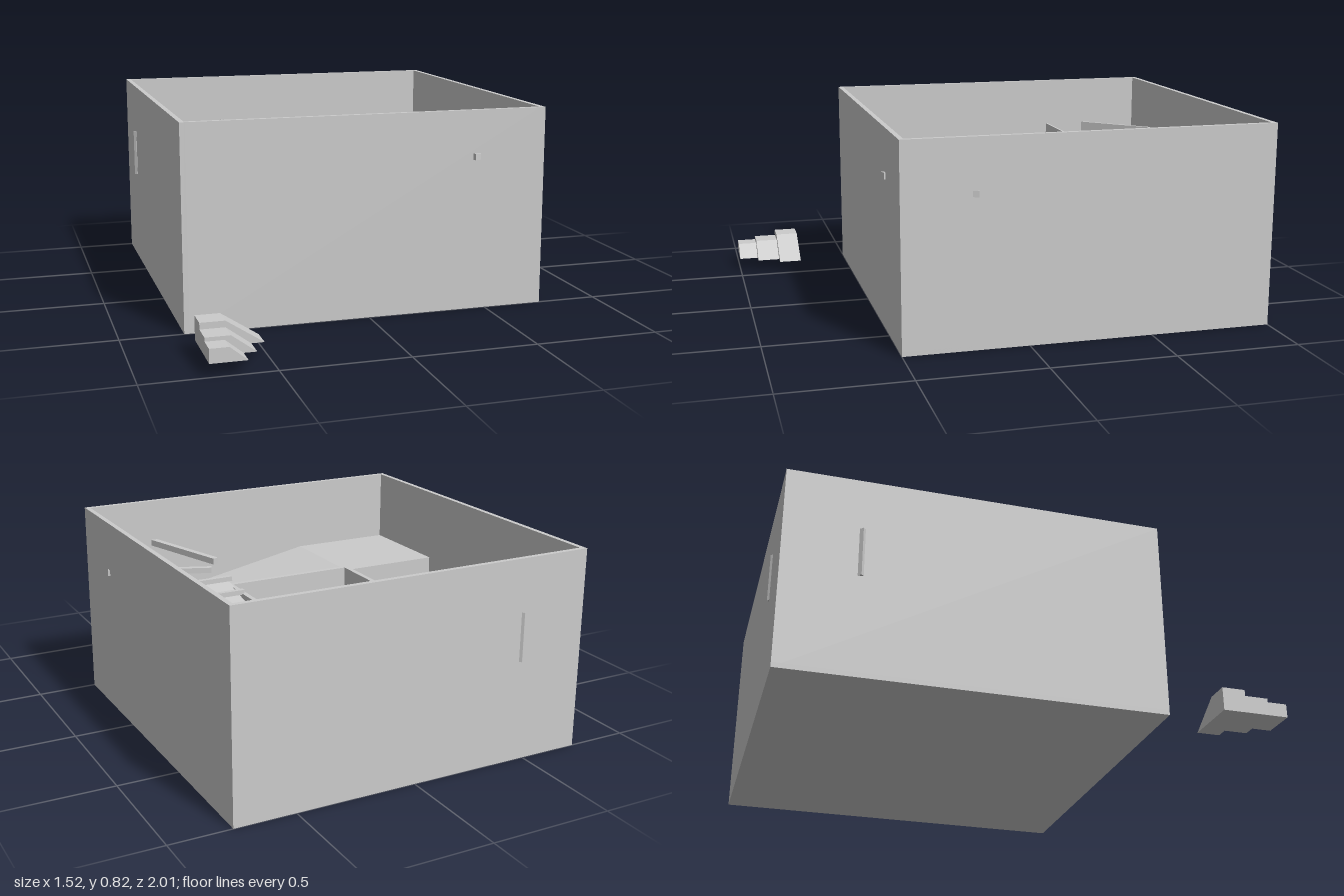
import * as THREE from 'three';

export function createModel() {
  const root = new THREE.Group();
  const mat = new THREE.MeshStandardMaterial({ color: 0xcccccc, flatShading: true, side: THREE.DoubleSide });
  const add = (name, geo, parent = root) => {
    const m = new THREE.Mesh(geo, mat);
    m.name = name;
    parent.add(m);
    return m;
  };
  // Box given by its limits on each axis
  const box = (name, x0, x1, y0, y1, z0, z1, parent) => {
    const m = add(name, new THREE.BoxGeometry(x1 - x0, y1 - y0, z1 - z0), parent);
    m.position.set((x0 + x1) / 2, (y0 + y1) / 2, (z0 + z1) / 2);
    return m;
  };
  // Solid block whose top height follows a rule of x and z
  const ramp = (name, x0, x1, z0, z1, top) => {
    const g = new THREE.BoxGeometry(x1 - x0, 1, z1 - z0);
    g.translate((x0 + x1) / 2, 0, (z0 + z1) / 2);
    const p = g.attributes.position;
    for (let i = 0; i < p.count; i++) p.setY(i, p.getY(i) > 0 ? top(p.getX(i), p.getZ(i)) : 0.02);
    g.computeVertexNormals();
    return add(name, g);
  };
  // Upright panel or bar between two points in plan, y is the middle height
  const bar = (name, a, b, y0, y1, h, w) => {
    const A = new THREE.Vector3(a[0], y0, a[1]), B = new THREE.Vector3(b[0], y1, b[1]);
    const m = add(name, new THREE.BoxGeometry(w, h, A.distanceTo(B)));
    m.position.copy(A).add(B).multiplyScalar(0.5);
    m.lookAt(B);
    return m;
  };
  const mix = (v, a, b, ya, yb) => ya + (yb - ya) * (v - a) / (b - a);

  // Open outer case
  box('caseFloor', -0.75, 0.75, 0, 0.02, -1, 0.5);
  box('caseLeftWall', 0.73, 0.75, 0, 0.823, -1, 0.5);
  box('caseRightWall', -0.75, -0.73, 0, 0.823, -1, 0.5);
  box('caseFrontWall', -0.73, 0.73, 0, 0.823, 0.48, 0.5);
  box('caseBackWall', -0.73, 0.73, 0, 0.823, -1, -0.98);

  // Corner floors
  ramp('frontRightFloor', -0.73, -0.29, 0.04, 0.48, () => 0.52);
  ramp('frontLeftFloor', 0.28, 0.73, 0.04, 0.48, () => 0.41);
  ramp('backLeftFloor', 0.28, 0.73, -0.98, -0.53, () => 0.55);
  ramp('backRightFloor', -0.73, -0.29, -0.98, -0.53, () => 0.45);

  // Ramps joining the corners
  ramp('frontRamp', -0.29, 0.28, 0.04, 0.48, x => mix(x, -0.29, 0.28, 0.52, 0.41));
  ramp('backRamp', -0.29, 0.28, -0.98, -0.53, x => mix(x, -0.29, 0.28, 0.45, 0.55));
  ramp('rightRamp', -0.73, -0.29, -0.53, 0.04, (x, z) => mix(z, -0.53, 0.04, 0.45, 0.28));
  ramp('leftRamp', 0.28, 0.73, -0.53, 0.04, (x, z) => mix(z, -0.53, 0.04, 0.44, 0.55));

  // Middle room
  ramp('middleFloorRight', -0.27, 0, -0.52, 0.02, x => mix(x, -0.27, 0, 0.4, 0.44));
  ramp('middleFloorLeft', 0, 0.27, -0.52, 0.02, () => 0.44);
  for (const s of [-1, 1]) box('middleSideWall', s * 0.28 - 0.01, s * 0.28 + 0.01, 0.02, 0.54, -0.53, 0.04);
  box('middleBackWall', -0.27, 0.27, 0.02, 0.54, -0.535, -0.515);
  box('middleFrontWall', -0.27, 0.27, 0.02, 0.54, 0.02, 0.04);

  // Thin partitions in the back right corner
  box('partitionAcross', -0.73, -0.29, 0.41, 0.61, -0.537, -0.527);
  box('partitionAlong', -0.295, -0.285, 0.41, 0.61, -0.98, -0.53);
  bar('diagonalPanel', [-0.757, -0.695], [-0.46, -1.003], 0.51, 0.51, 0.2, 0.014);

  // Sloped mound in the corner
  const mound = new THREE.BoxGeometry(0.18, 0.06, 0.18);
  const mp = mound.attributes.position;
  for (let i = 0; i < mp.count; i++) if (mp.getY(i) > 0) {
    if (mp.getX(i) > 0) mp.setX(i, 0.02);
    if (mp.getZ(i) > 0) mp.setZ(i, -0.01);
  }
  mound.computeVertexNormals();
  add('cornerMound', mound).position.set(-0.64, 0.475, -0.89);

  // Planks and plates over the left ramp
  for (const [z, y, x0] of [[-0.225, 0.52, 0.28], [-0.195, 0.53, 0.28], [-0.1, 0.555, 0.28], [0.02, 0.58, 0.28]])
    box('plank', x0, 0.73, y - 0.02, y, z - 0.01, z + 0.01);
  box('shortPlank', 0.28, 0.54, 0.48, 0.5, -0.36, -0.345);
  box('plate', 0.28, 0.47, 0.455, 0.475, -0.505, -0.395);
  box('plate', 0.54, 0.73, 0.48, 0.5, -0.38, -0.27);

  // Slanted bars and round posts in the front left corner
  bar('slantedBar', [0.35, 0.065], [0.755, 0.215], 0.605, 0.608, 0.023, 0.023);
  bar('slantedBar', [0.31, 0.11], [0.455, 0.51], 0.625, 0.634, 0.026, 0.026);
  for (const [x, z, top] of [[0.65, 0.14, 0.49], [0.58, 0.24, 0.52], [0.625, 0.335, 0.57], [0.505, 0.36, 0.605]]) {
    const h = top - 0.4;
    add('post', new THREE.CylinderGeometry(0.022, 0.022, h, 24)).position.set(x, top - h / 2, z);
  }

  // Round disc with crossed blades
  const rotor = new THREE.Group();
  rotor.name = 'rotor';
  rotor.position.set(0.505, 0.55, -0.755);
  root.add(rotor);
  add('rotorDisc', new THREE.CylinderGeometry(0.085, 0.085, 0.02, 32), rotor).position.y = 0.01;
  box('rotorHub', -0.014, 0.014, 0, 0.045, -0.014, 0.014, rotor);
  for (const s of [-1, 1]) {
    const b = box('rotorBlade', -0.085, 0.085, 0.02, 0.035, -0.002, 0.002, rotor);
    b.rotation.y = s * Math.PI / 4;
  }

  // Separate flight of sloped steps
  const steps = new THREE.Group();
  steps.name = 'steps';
  root.add(steps);
  for (const [z0, z1, h, flat, end] of [
    [0.73, 0.825, 0.145, -0.655, -0.51],
    [0.825, 0.92, 0.12, -0.655, -0.56],
    [0.92, 1, 0.105, -0.677, -0.61]]) {
    const s = new THREE.Shape([[-0.75, 0.05], [end, 0.05], [flat, h], [-0.75, h]].map(p => new THREE.Vector2(...p)));
    add('step', new THREE.ExtrudeGeometry(s, { depth: z1 - z0, bevelEnabled: false }), steps).position.z = z0;
  }
  return root;
}
